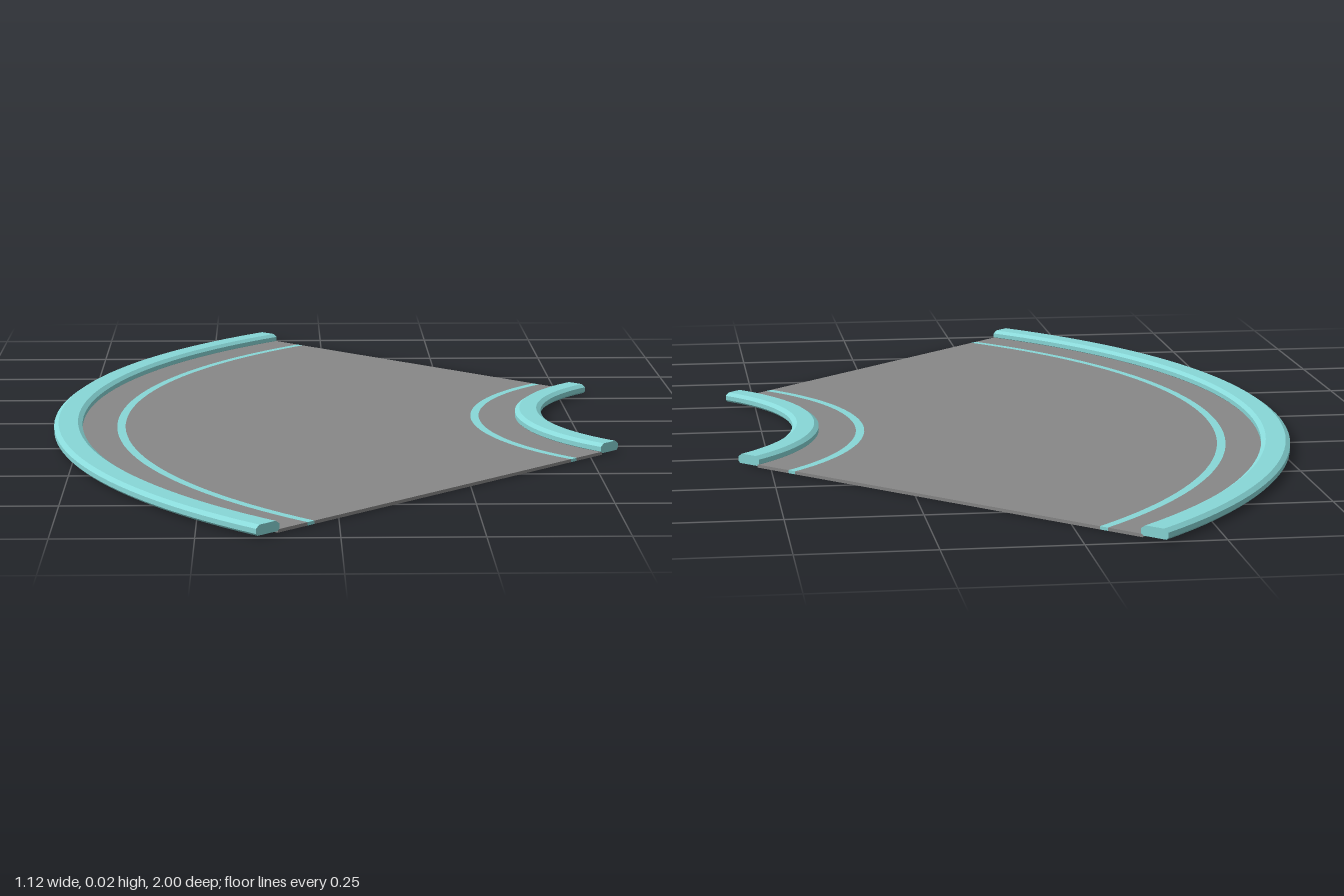
import * as THREE from 'three';
import { toCreasedNormals } from 'three/addons/utils/BufferGeometryUtils.js';

const CENTER_X = 0.8545; // centre of the curve
const SWEEP = Math.PI / 2;

// Extrude a (radius, height) profile and bend it into a quarter-circle curve
function bendProfile(name, points, material) {
  const shape = new THREE.Shape(points.map(([r, y]) => new THREE.Vector2(r, y)));
  const geometry = new THREE.ExtrudeGeometry(shape, { depth: 1, steps: 48, bevelEnabled: false });
  const p = geometry.attributes.position;
  for (let i = 0; i < p.count; i++) {
    const r = p.getX(i), a = (p.getZ(i) - 0.5) * SWEEP;
    p.setXYZ(i, CENTER_X - r * Math.cos(a), p.getY(i), -r * Math.sin(a));
  }
  const mesh = new THREE.Mesh(toCreasedNormals(geometry, 0.4), material);
  mesh.name = name;
  return mesh;
}

// Flat band of the road surface between two radii
const band = (name, r0, r1, material) =>
  bendProfile(name, [[r0, 0], [r1, 0], [r1, 0.006], [r0, 0.006]], material);

// Raised kerb with bevelled edges
const kerb = (name, r0, r1, material) => {
  const c = 0.009, lo = 0.003, hi = 0.022;
  return bendProfile(name, [
    [r0 + 0.004, lo], [r1 - 0.004, lo], [r1, lo + 0.004], [r1, hi - 0.006],
    [r1 - c, hi], [r0 + c, hi], [r0, hi - 0.006], [r0, lo + 0.004],
  ], material);
};

export function createModel() {
  const asphalt = new THREE.MeshStandardMaterial({ color: 0x888888 });
  const cyan = new THREE.MeshStandardMaterial({ color: 0x88d8d8 });
  const group = new THREE.Group();
  group.name = 'curvedRoad';

  group.add(
    // Kerbs along both edges
    kerb('innerKerb', 0.417, 0.47, cyan),
    kerb('outerKerb', 1.357, 1.414, cyan),
    // Road surface, split by the two painted lines
    band('innerShoulder', 0.466, 0.545, asphalt),
    band('innerLine', 0.545, 0.562, cyan),
    band('roadway', 0.562, 1.27, asphalt),
    band('outerLine', 1.27, 1.287, cyan),
    band('outerShoulder', 1.287, 1.361, asphalt),
  );
  return group;
}
